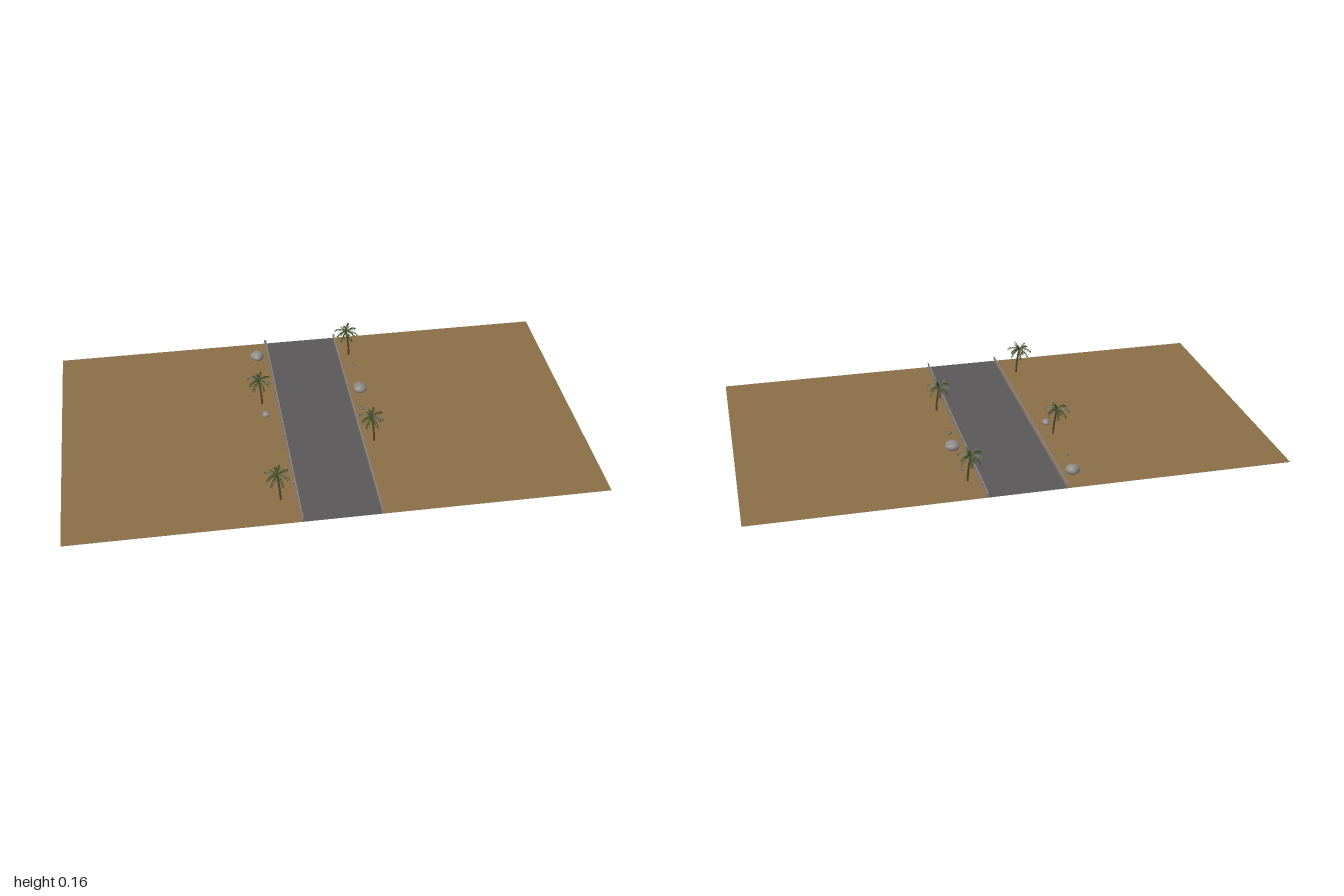
import * as THREE from 'three';

const mat = (name, color, extra = {}) => {
  const m = new THREE.MeshStandardMaterial({ color, ...extra });
  m.name = name;
  return m;
};
const double = { side: THREE.DoubleSide };
const M = {
  sand: mat('sand', 0x8a6f48, double),
  asphalt: mat('asphalt', 0x5a5858, double),
  rail: mat('railMetal', 0x8c8082),
  bark: mat('bark', 0x5c442c),
  leaf: mat('palmLeaf', 0x424f28, double),
  rock: mat('rock', 0x8e8a8a, { flatShading: true }),
  pebble: mat('pebble', 0x6c6868, { flatShading: true }),
};

const GROUND = 0.021, LENGTH = 1.14, ROAD = 0.144;

function add(parent, name, geometry, material, x = 0, y = 0, z = 0) {
  const mesh = new THREE.Mesh(geometry, material);
  mesh.name = name;
  mesh.position.set(x, y, z);
  parent.add(mesh);
  return mesh;
}

// flat strip of land between two x values
function strip(parent, name, x0, x1, material) {
  const g = new THREE.PlaneGeometry(x1 - x0, LENGTH).rotateX(-Math.PI / 2);
  add(parent, name, g, material, (x0 + x1) / 2, GROUND, 0);
}

// arching frond: a rib with a folded row of pointed leaflets on both sides
function frondGeometry(length, rise, droop) {
  const pos = [];
  const rib = t => [length * t, rise * t - droop * t * t, 0];
  const n = 7;
  for (let i = 0; i < n; i++) {
    const t0 = i / n, t1 = (i + 1) / n;
    const w = 0.012 * Math.sin(Math.PI * (0.15 + 0.75 * t0));
    const a = rib(t0), b = rib(t1), tip = rib(Math.min(1, t1 + 0.12));
    for (const s of [-1, 1]) {
      pos.push(...a, ...b, tip[0], tip[1] - w * 0.9, s * w * 0.75);
    }
  }
  const g = new THREE.BufferGeometry();
  g.setAttribute('position', new THREE.Float32BufferAttribute(pos, 3));
  g.computeVertexNormals();
  return g;
}

// leaning palm with its root below the ground; x and z are at the root
function palm(x, z) {
  const tree = new THREE.Group();
  tree.name = 'palmTree';
  tree.position.set(x, 0, z);
  const trunkLine = new THREE.CatmullRomCurve3([
    new THREE.Vector3(0, 0, 0),
    new THREE.Vector3(0, 0.045, -0.001),
    new THREE.Vector3(-0.004, 0.09, -0.006),
    new THREE.Vector3(-0.009, 0.13, -0.011),
  ]);
  add(tree, 'trunk', new THREE.TubeGeometry(trunkLine, 10, 0.0038, 7), M.bark);
  const crown = new THREE.Group();
  crown.name = 'crown';
  crown.position.set(-0.009, 0.129, -0.011);
  tree.add(crown);
  // three tiers: hanging, spreading and upright
  const tiers = [[5, 0.038, 0.012, 0.042, 0.2], [6, 0.05, 0.036, 0.038, 0.55], [3, 0.024, 0.042, 0.012, 1.1]];
  for (const [count, length, rise, droop, turn] of tiers) {
    const g = frondGeometry(length, rise, droop);
    for (let i = 0; i < count; i++) {
      add(crown, 'frond', g, M.leaf).rotation.y = turn + (i * 2 * Math.PI) / count;
    }
  }
  return tree;
}

// lumpy boulder
function rock(parent, name, x, y, z, sx, sy, sz, material, seed) {
  const g = new THREE.IcosahedronGeometry(1, 2);
  const p = g.attributes.position, v = new THREE.Vector3();
  for (let i = 0; i < p.count; i++) {
    v.fromBufferAttribute(p, i);
    const k = 0.95 + 0.07 * Math.sin(3 * v.x + seed) + 0.06 * Math.sin(4 * v.z + 2 * seed + v.y);
    p.setXYZ(i, v.x * k * sx, v.y * k * sy, v.z * k * sz);
  }
  g.computeVertexNormals();
  add(parent, name, g, material, x, y, z);
}

export function createModel() {
  const model = new THREE.Group();
  model.name = 'desertRoad';

  // land and road
  strip(model, 'rightGround', -1, -ROAD, M.sand);
  strip(model, 'road', -ROAD, ROAD, M.asphalt);
  strip(model, 'leftGround', ROAD, 1, M.sand);

  // guard rails
  const railGeo = new THREE.BoxGeometry(0.004, 0.012, LENGTH);
  const postGeo = new THREE.BoxGeometry(0.005, 0.019, 0.007);
  for (const side of [-1, 1]) {
    const rail = new THREE.Group();
    rail.name = side > 0 ? 'leftGuardRail' : 'rightGuardRail';
    add(rail, 'beam', railGeo, M.rail, side * 0.145, 0.034, 0);
    for (let i = 0; i < 16; i++) {
      add(rail, 'post', postGeo, M.rail, side * 0.149, 0.0305, 0.51 - i * 0.0717);
    }
    model.add(rail);
  }

  // palms alternate from side to side
  for (const [x, z] of [[-0.21, 0.437], [0.19, 0.15], [-0.21, -0.147], [0.19, -0.437]]) {
    model.add(palm(x, z));
  }

  // boulders and pebbles
  rock(model, 'boulder', -0.194, 0.035, -0.463, 0.03, 0.02, 0.03, M.rock, 1);
  rock(model, 'boulder', 0.195, 0.034, -0.181, 0.031, 0.018, 0.029, M.rock, 2.3);
  rock(model, 'stone', -0.202, 0.03, -0.066, 0.016, 0.012, 0.017, M.rock, 3.1);
  rock(model, 'pebble', -0.21, 0.021, -0.33, 0.009, 0.005, 0.008, M.pebble, 4);
  rock(model, 'pebble', 0.196, 0.021, -0.353, 0.01, 0.006, 0.008, M.pebble, 5);
  rock(model, 'pebble', 0.18, 0.024, -0.058, 0.011, 0.006, 0.011, M.pebble, 6);

  return model;
}
